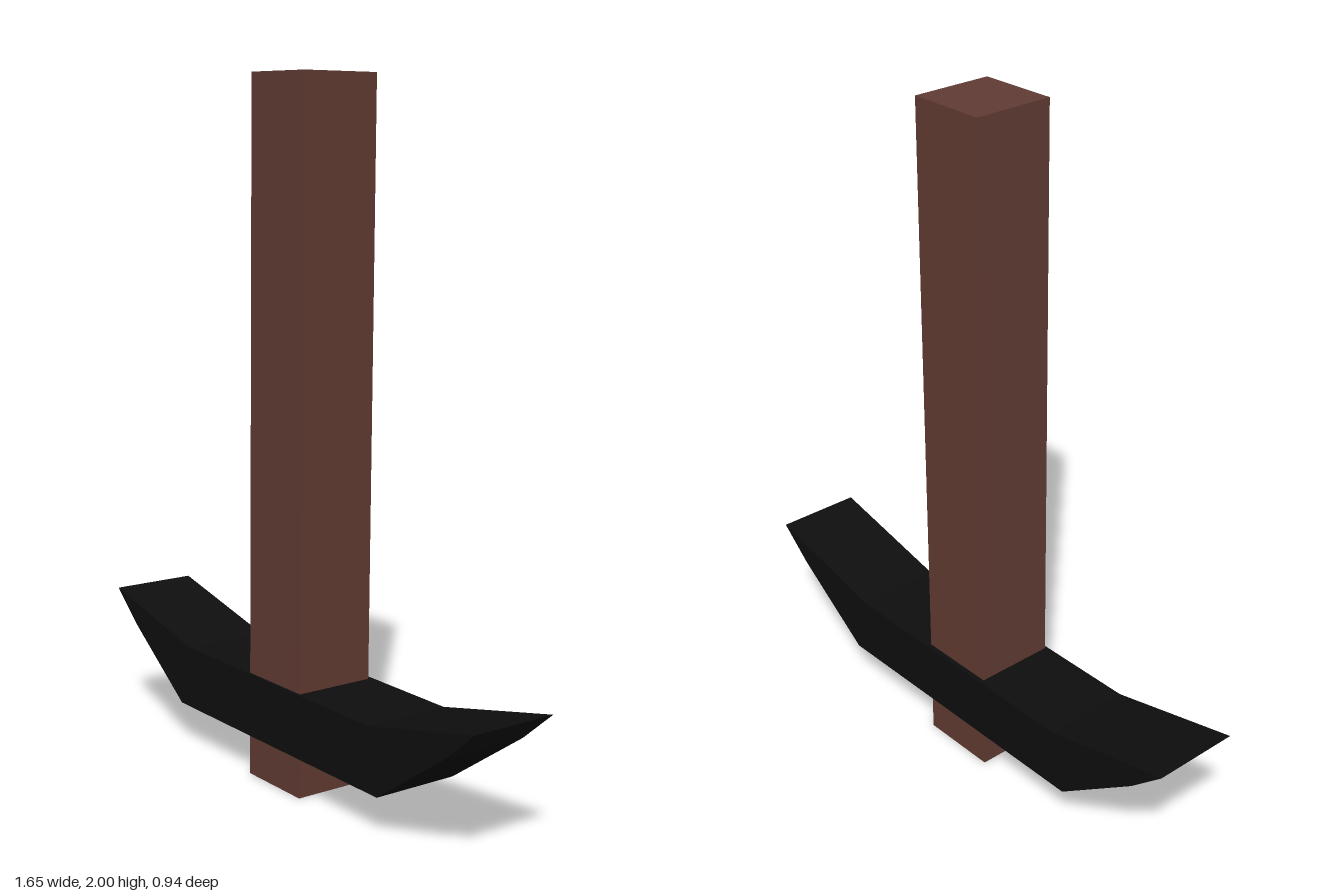
import * as THREE from 'three';

export function createModel() {
  const model = new THREE.Group();
  const wood = new THREE.MeshStandardMaterial({ name: 'brown wood', color: 0x613b33 });
  const iron = new THREE.MeshStandardMaterial({ name: 'black iron', color: 0x0e0e0e });

  // The whole tool is turned about y and leans slightly
  const tool = new THREE.Group();
  tool.name = 'pickaxe';
  tool.rotation.set(0, THREE.MathUtils.degToRad(-24.3), -0.0135);
  tool.position.set(-0.004, 0, 0);
  model.add(tool);

  // Square handle
  const handle = new THREE.Mesh(new THREE.BoxGeometry(0.241, 1.997, 0.242), wood);
  handle.name = 'handle';
  handle.position.set(0, 1, 0.004);
  tool.add(handle);

  // Head: half outline mirrored about the handle, extruded across its width
  const half = [[0.473, 0.12], [0.74, 0.308], [0.846, 0.4], [0.43, 0.305]];
  const mirrored = half.map(([x, y]) => [-x, y]).reverse();
  const outline = new THREE.Shape([...half, ...mirrored].map(([x, y]) => new THREE.Vector2(x, y)));
  const width = 0.264;
  const headGeometry = new THREE.ExtrudeGeometry(outline, { depth: width, bevelEnabled: false });
  headGeometry.translate(0, 0, -width / 2);
  const head = new THREE.Mesh(headGeometry, iron);
  head.name = 'head';
  head.position.z = 0.001;
  tool.add(head);

  return model;
}
